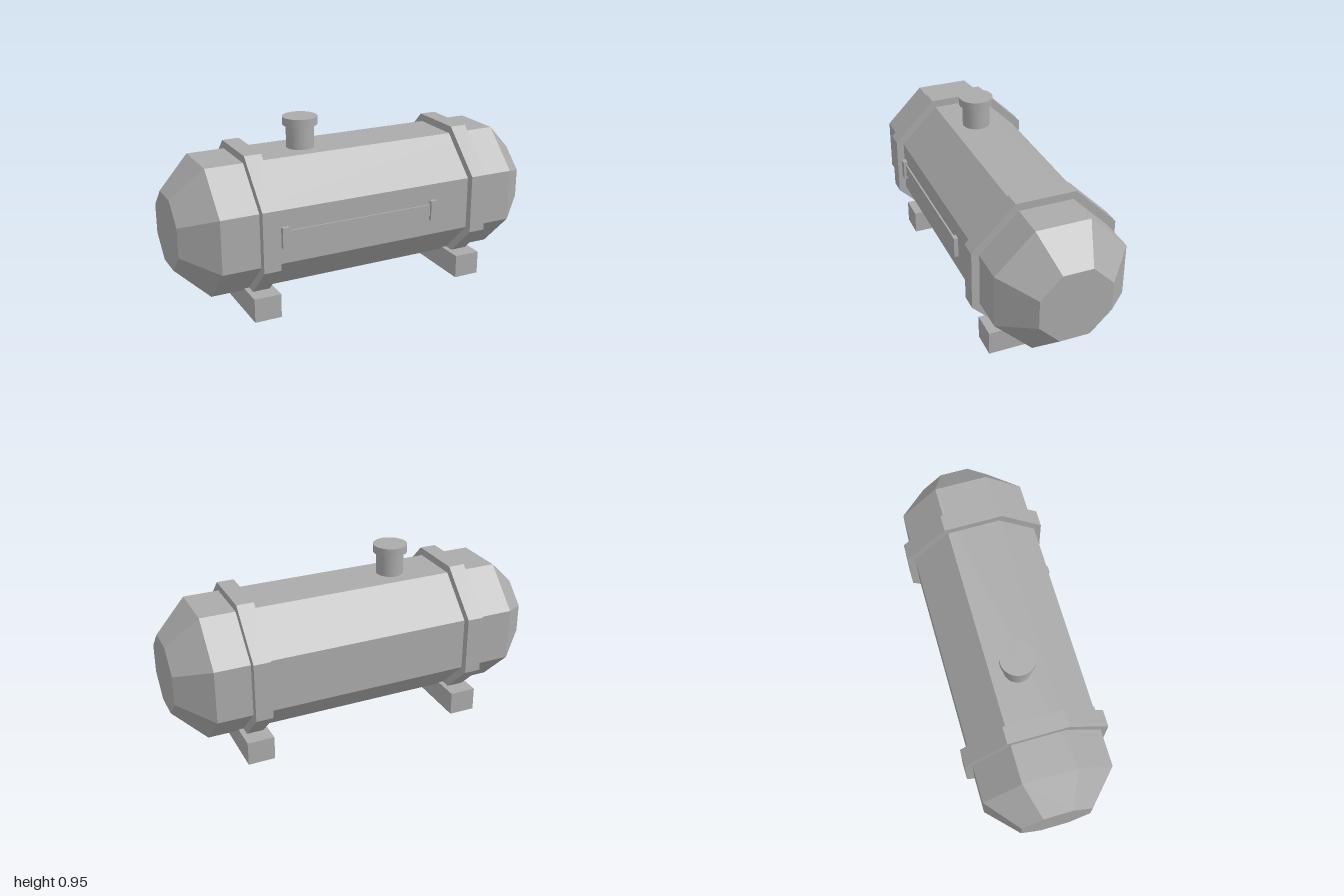
import * as THREE from 'three';

export function createModel() {
  const model = new THREE.Group();
  const steel = new THREE.MeshStandardMaterial({ color: 0xaaaaaa });
  const CENTER_Y = 0.452;
  const OCT = 1 / Math.cos(Math.PI / 8); // flat-to-corner ratio of an octagon

  function add(name, geometry, x, y, z) {
    const mesh = new THREE.Mesh(geometry, steel);
    mesh.name = name;
    mesh.position.set(x, y, z);
    model.add(mesh);
    return mesh;
  }

  // Faceted octagonal solid along x from [flat radius, x] pairs
  function octagonal(profile) {
    const points = profile.map(([r, x]) => new THREE.Vector2(r * OCT, x));
    const geometry = new THREE.LatheGeometry(points, 8, Math.PI / 8).toNonIndexed();
    geometry.rotateZ(-Math.PI / 2);
    geometry.computeVertexNormals();
    return geometry;
  }

  // Tank with tapered ends
  add('tank', octagonal([
    [0, -1], [0.187, -1], [0.34, -0.833], [0.34, 0.833], [0.187, 1], [0, 1],
  ]), 0, CENTER_Y, 0);

  // Straps and the feet below them
  for (const x of [-0.59, 0.603]) {
    add('strap', octagonal([[0, -0.045], [0.38, -0.045], [0.38, 0.045], [0, 0.045]]), x, CENTER_Y, 0);
    add('foot', new THREE.BoxGeometry(0.144, 0.128, 0.604), x, 0.064, 0);
  }

  // Filler neck and cap
  add('fillerNeck', new THREE.CylinderGeometry(0.073, 0.073, 0.15, 32), -0.267, 0.84, 0);
  add('fillerCap', new THREE.CylinderGeometry(0.091, 0.091, 0.043, 32), -0.267, 0.9335, 0);

  // Level gauge on the front
  add('gaugeBar', new THREE.BoxGeometry(0.82, 0.063, 0.02), -0.084, 0.452, 0.339);
  for (const x of [-0.507, 0.338]) {
    add('gaugeBracket', new THREE.BoxGeometry(0.036, 0.109, 0.04), x, 0.452, 0.342);
  }

  return model;
}
